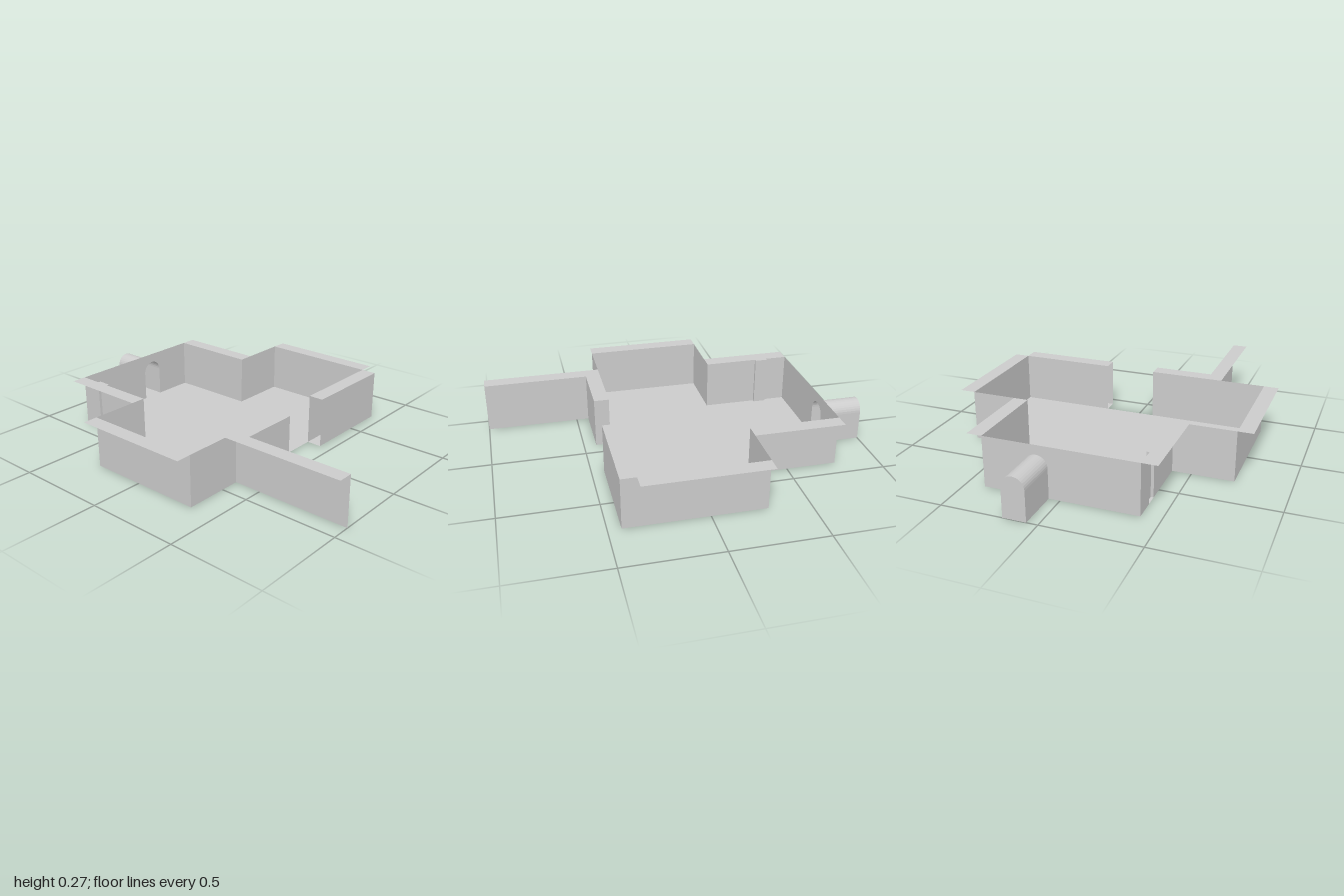
import * as THREE from 'three';

const H = 0.27;
const material = new THREE.MeshStandardMaterial({ color: 0xcccccc, side: THREE.DoubleSide, flatShading: true });

function add(group, geometry, name) {
  const mesh = new THREE.Mesh(geometry, material);
  mesh.name = name;
  group.add(mesh);
  return mesh;
}

// Flat horizontal polygon from [x, z] corners
function slab(group, points, y, name) {
  const shape = new THREE.Shape(points.map(([x, z]) => new THREE.Vector2(x, -z)));
  const geometry = new THREE.ShapeGeometry(shape);
  geometry.rotateX(-Math.PI / 2).translate(0, y, 0);
  return add(group, geometry, name);
}

// Thin upright walls along a path of [x, z] corners
function walls(group, path, name) {
  const position = [];
  for (let i = 0; i < path.length - 1; i++) {
    const [ax, az] = path[i], [bx, bz] = path[i + 1];
    position.push(ax, 0, az, bx, 0, bz, bx, H, bz, ax, 0, az, bx, H, bz, ax, H, az);
  }
  const geometry = new THREE.BufferGeometry();
  geometry.setAttribute('position', new THREE.Float32BufferAttribute(position, 3));
  geometry.computeVertexNormals();
  return add(group, geometry, name);
}

const rect = (x0, x1, z0, z1) => [[x0, z0], [x1, z0], [x1, z1], [x0, z1]];

// Rounded doorway outline in x and y
function arch(curve, cx, r, spring) {
  curve.moveTo(cx - r, 0);
  curve.lineTo(cx + r, 0);
  curve.lineTo(cx + r, spring);
  curve.absarc(cx, spring, r, 0, Math.PI, false);
  curve.lineTo(cx - r, 0);
  return curve;
}

export function createModel() {
  const group = new THREE.Group();
  group.name = 'room';

  // Floor, stepping in at the front doorway
  slab(group, [
    [-0.72, -0.287], [-0.4, -0.287], [-0.4, -0.767], [0.4, -0.767], [0.4, -0.287], [0.72, -0.287],
    [0.72, 0.433], [0.2, 0.433], [0.2, 0.353], [-0.08, 0.353], [-0.08, 0.433], [-0.4, 0.433],
    [-0.4, 0.353], [-0.72, 0.353],
  ], 0, 'floor');

  // Side walls; the one at -x has a shallow niche
  walls(group, [
    [-0.4, -0.767], [-0.4, -0.65], [-0.385, -0.65], [-0.385, -0.58], [-0.4, -0.58],
    [-0.4, -0.287], [-0.72, -0.287], [-0.72, 0.353], [-0.08, 0.353], [-0.08, 0.433], [-0.4, 0.433],
  ], 'rightWalls');
  walls(group, [
    [0.4, -0.767], [0.4, -0.287], [0.72, -0.287], [0.72, 0.433], [0.2, 0.433],
  ], 'leftWalls');
  walls(group, [[0.2, 0.353], [0.72, 0.353]], 'frontInnerWall');
  walls(group, [[-0.4, 0.353], [-0.4, 1]], 'outerWall');

  // Back wall with an arched opening
  const cx = 0.118, r = 0.06, spring = 0.16, backZ = -0.767;
  const back = new THREE.Shape([
    new THREE.Vector2(-0.4, 0), new THREE.Vector2(0.4, 0),
    new THREE.Vector2(0.4, H), new THREE.Vector2(-0.4, H),
  ]);
  back.holes.push(arch(new THREE.Path(), cx, r, spring + 0.0));
  add(group, new THREE.ShapeGeometry(back, 8).translate(0, 0, backZ), 'backWall');

  // Arched tunnel: skin swept along z, plus its end
  const outline = arch(new THREE.Shape(), cx, r, spring).getPoints(8);
  const position = [];
  for (let i = 0; i < outline.length - 1; i++) {
    const a = outline[i], b = outline[i + 1];
    position.push(a.x, a.y, backZ, a.x, a.y, -1, b.x, b.y, -1);
    position.push(a.x, a.y, backZ, b.x, b.y, -1, b.x, b.y, backZ);
  }
  const skin = new THREE.BufferGeometry();
  skin.setAttribute('position', new THREE.Float32BufferAttribute(position, 3));
  skin.computeVertexNormals();
  add(group, skin, 'tunnel');
  add(group, new THREE.ShapeGeometry(arch(new THREE.Shape(), cx, r, spring), 8).translate(0, 0, -1), 'tunnelEnd');

  // Flat strips along the wall tops
  for (const s of [-1, 1]) {
    slab(group, rect(s * 0.72, s * 0.8, -0.287, 0.353), H, 'sideWallTop');
    slab(group, rect(s * 0.4, s * 0.48, -0.767, -0.287), H, 'alcoveWallTop');
  }
  slab(group, rect(-0.4, -0.385, -0.65, -0.58), H, 'nicheTop');
  slab(group, rect(-0.4, -0.08, 0.353, 0.433), H, 'frontWallTop');
  slab(group, rect(0.2, 0.72, 0.353, 0.433), H, 'frontWallTop');
  slab(group, rect(-0.48, -0.4, 0.353, 1), H, 'outerWallTop');

  return group;
}
